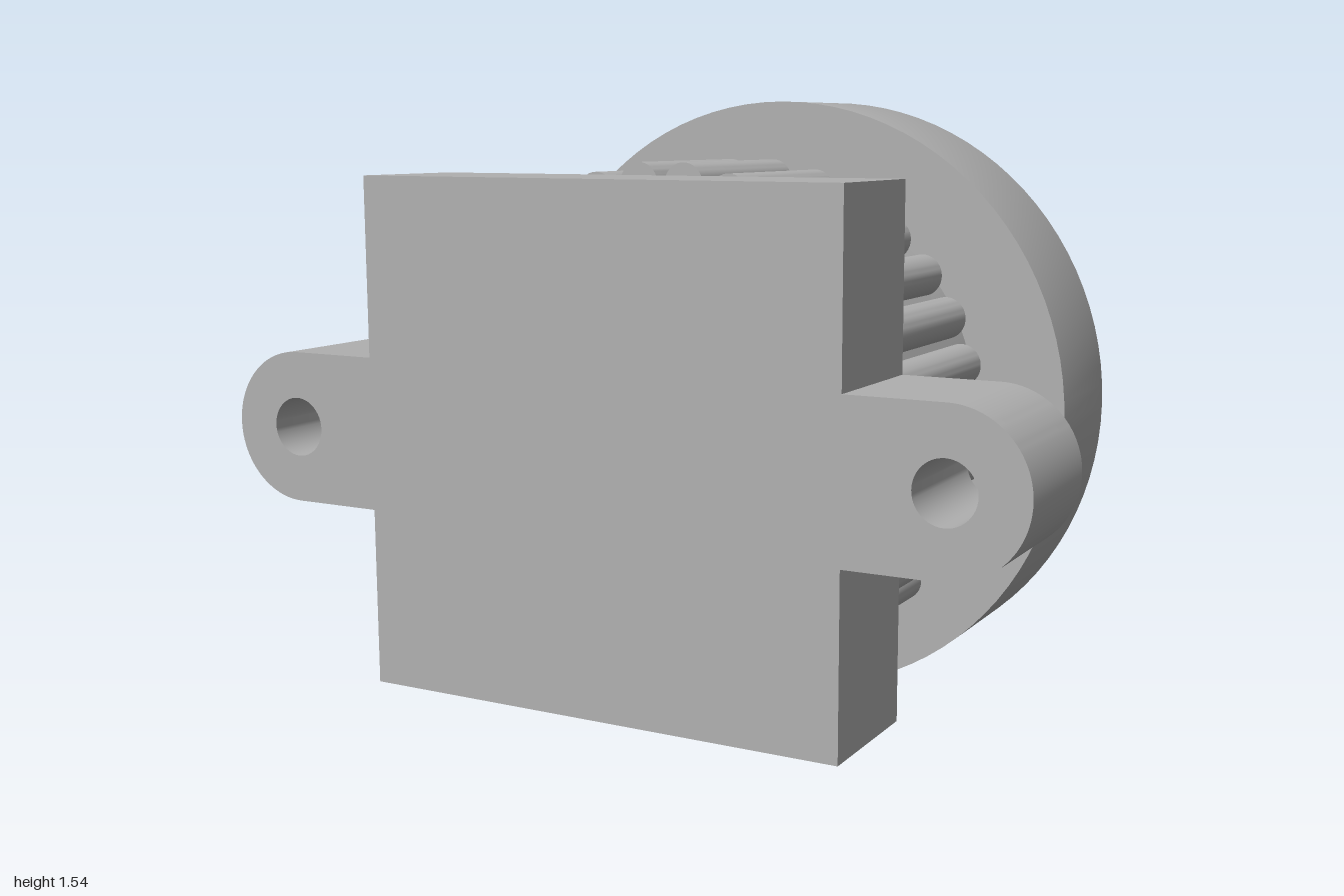
import * as THREE from 'three';
import { toCreasedNormals } from 'three/addons/utils/BufferGeometryUtils.js';

const AXIS_Y = 0.772;

export function createModel() {
  const model = new THREE.Group();
  model.name = 'gearedKnob';
  const grey = new THREE.MeshStandardMaterial({ color: 0xb0b0b0 });
  grey.name = 'machined grey';

  const add = (name, geometry) => {
    const mesh = new THREE.Mesh(toCreasedNormals(geometry, 0.6), grey);
    mesh.name = name;
    mesh.position.y = AXIS_Y;
    model.add(mesh);
  };
  // Extrude a shape in the xy plane from z0 to z1
  const extrude = (shape, z0, z1, curveSegments) =>
    new THREE.ExtrudeGeometry(shape, { depth: z1 - z0, bevelEnabled: false, curveSegments })
      .translate(0, 0, z0);
  // Revolve [radius, z] pairs, ordered back to front, about the z axis
  const revolve = (profile) =>
    new THREE.LatheGeometry(profile.map(([r, z]) => new THREE.Vector2(r, z)), 96)
      .rotateX(Math.PI / 2);

  // Square mounting plate with a rounded, drilled ear on each side
  const half = 0.598, earX = 0.82, earR = 0.18;
  const plate = new THREE.Shape();
  plate.moveTo(-half, -half);
  plate.lineTo(half, -half);
  plate.lineTo(half, -earR);
  plate.absarc(earX, 0, earR, -Math.PI / 2, Math.PI / 2, false);
  plate.lineTo(half, earR);
  plate.lineTo(half, half);
  plate.lineTo(-half, half);
  plate.lineTo(-half, earR);
  plate.absarc(-earX, 0, earR, Math.PI / 2, Math.PI * 1.5, false);
  plate.lineTo(-half, -earR);
  plate.closePath();
  for (const side of [-1, 1]) {
    plate.holes.push(new THREE.Path().absarc(side * earX, 0, 0.07, 0, Math.PI * 2, true));
  }
  add('mountingPlate', extrude(plate, 0.318, 0.635, 24));

  // Gear with round teeth, one pointing straight down
  const teeth = 31, pitchR = 0.581, toothR = 0.05, sweep = 1.81;
  const gear = new THREE.Shape();
  for (let i = 0; i < teeth; i++) {
    const a = -Math.PI / 2 + (i / teeth) * Math.PI * 2;
    gear.absarc(pitchR * Math.cos(a), pitchR * Math.sin(a), toothR, a - sweep, a + sweep, false);
  }
  gear.closePath();
  add('gear', extrude(gear, -0.137, 0.318, 12));

  // Plain neck between gear and flywheel
  add('neck', revolve([[0, -0.3], [0.544, -0.3], [0.544, -0.13], [0, -0.13]]));

  // Flywheel with softened rear rim, shallow dished face and hub rings
  add('flywheel', revolve([
    [0, -0.625], [0.083, -0.625], [0.083, -0.615], [0.125, -0.615],
    [0.125, -0.625], [0.173, -0.625], [0.173, -0.63], [0.6, -0.63], [0.6, -0.635],
    [0.76, -0.635], [0.769, -0.631], [0.772, -0.623], [0.772, -0.297], [0, -0.297],
  ]));

  return model;
}
